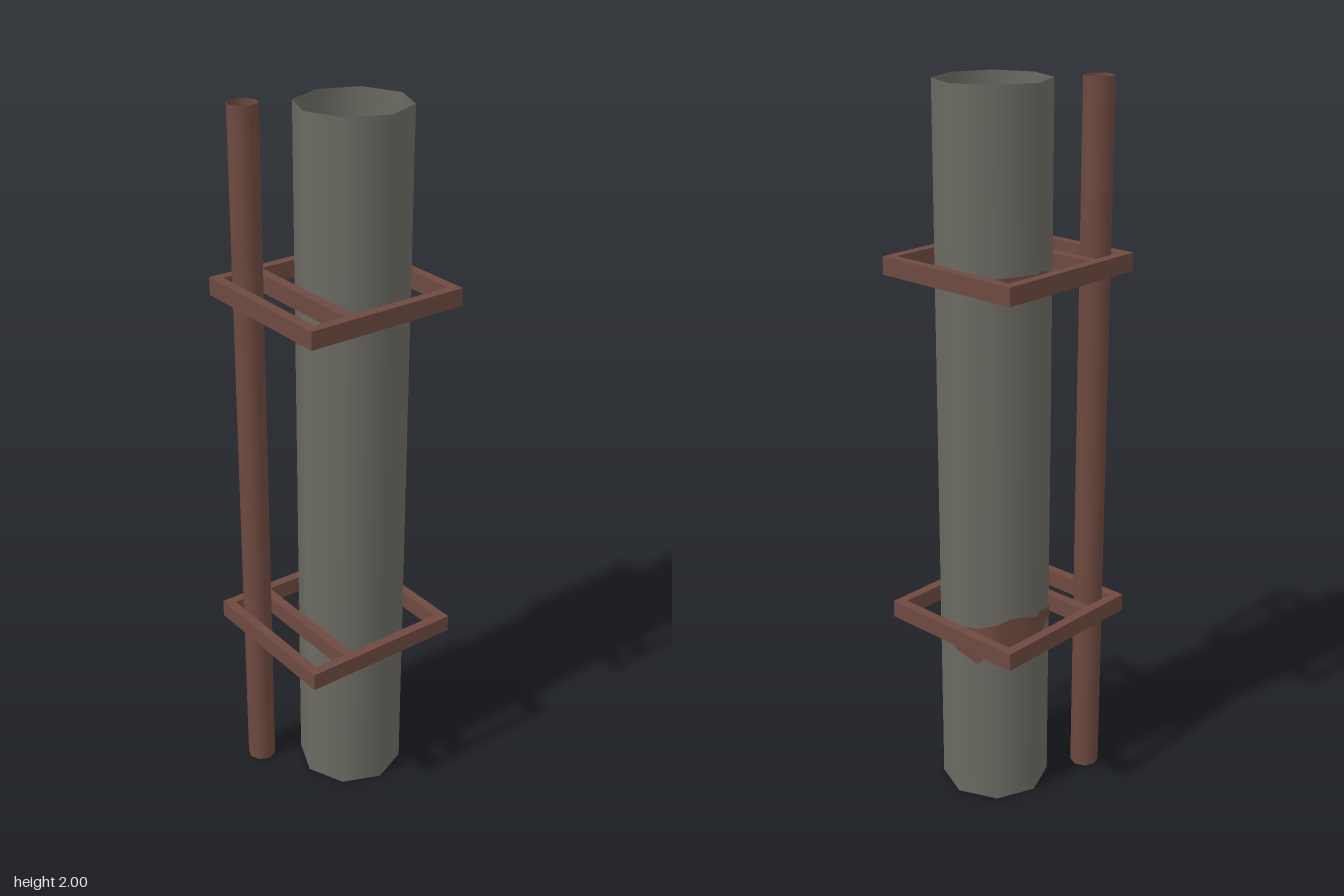
import * as THREE from 'three';

const PIPE = { x: 0.057, z: 0, r: 0.152 };
const SIDES = 8;

export function createModel() {
  const model = new THREE.Group();
  model.name = 'pipeAssembly';
  const steel = new THREE.MeshStandardMaterial({ name: 'greySteel', color: 0x6b6a62, side: THREE.DoubleSide });
  const rust = new THREE.MeshStandardMaterial({ name: 'rustBrown', color: 0x6e4a40, side: THREE.DoubleSide });

  const add = (parent, name, geometry, material, x, y, z) => {
    const mesh = new THREE.Mesh(geometry, material);
    mesh.name = name;
    mesh.position.set(x, y, z);
    parent.add(mesh);
  };

  // Open, thin-walled pipes
  const pipe = (name, r, material, x, z) =>
    add(model, name, new THREE.CylinderGeometry(r, r, 2, SIDES, 1, true), material, x, 1, z);
  pipe('mainPipe', PIPE.r, steel, PIPE.x, PIPE.z);
  pipe('sidePipe', 0.041, rust, -0.163, -0.157);

  // Two clamp frames, each with four rails and a divider
  const W = 0.474, D = 0.45, BAR = 0.027, H = 0.049;
  for (const [name, y] of [['lowerFrame', 0.521], ['upperFrame', 1.521]]) {
    const frame = new THREE.Group();
    frame.name = name;
    frame.position.y = y;
    for (const s of [-1, 1]) {
      add(frame, s > 0 ? 'frontRail' : 'backRail', new THREE.BoxGeometry(W, H, BAR), rust, 0, 0, s * (D - BAR) / 2);
      add(frame, s > 0 ? 'leftRail' : 'rightRail', new THREE.BoxGeometry(BAR, H, D - 2 * BAR), rust, s * (W - BAR) / 2, 0, 0);
    }
    add(frame, 'divider', new THREE.BoxGeometry(0.028, H, D - 2 * BAR), rust, -0.104, 0, 0);
    model.add(frame);
  }

  // Rust stains hugging the pipe facets; each entry is angle in degrees, low y, high y
  const stain = (name, columns) => {
    const pos = [], index = [];
    columns.forEach(([deg, low, high], i) => {
      const a = THREE.MathUtils.degToRad(deg), half = Math.PI / SIDES;
      const r = (PIPE.r + 0.002) * Math.cos(half) / Math.cos((a % (2 * half)) - half);
      const x = Math.sin(a) * r, z = Math.cos(a) * r;
      pos.push(x, low, z, x, high, z);
      if (i) index.push(2 * i - 2, 2 * i, 2 * i - 1, 2 * i, 2 * i + 1, 2 * i - 1);
    });
    const g = new THREE.BufferGeometry();
    g.setAttribute('position', new THREE.Float32BufferAttribute(pos, 3));
    g.setIndex(index);
    g.computeVertexNormals();
    add(model, name, g, rust, PIPE.x, 0, PIPE.z);
  };
  stain('lowerStain', [
    [68, 0.49, 0.51], [76, 0.475, 0.52], [90, 0.465, 0.53], [100, 0.45, 0.54], [112, 0.43, 0.54], [119, 0.44, 0.545],
    [124, 0.48, 0.55], [135, 0.475, 0.56], [150, 0.47, 0.57], [165, 0.46, 0.57], [180, 0.465, 0.56],
    [195, 0.49, 0.56], [210, 0.5, 0.55], [225, 0.51, 0.54], [235, 0.52, 0.53],
  ]);
  stain('upperStain', [
    [122, 1.49, 1.52], [135, 1.475, 1.53], [146, 1.49, 1.53], [160, 1.49, 1.53],
    [168, 1.47, 1.53], [180, 1.475, 1.53], [195, 1.48, 1.53], [208, 1.5, 1.52],
  ]);

  return model;
}
